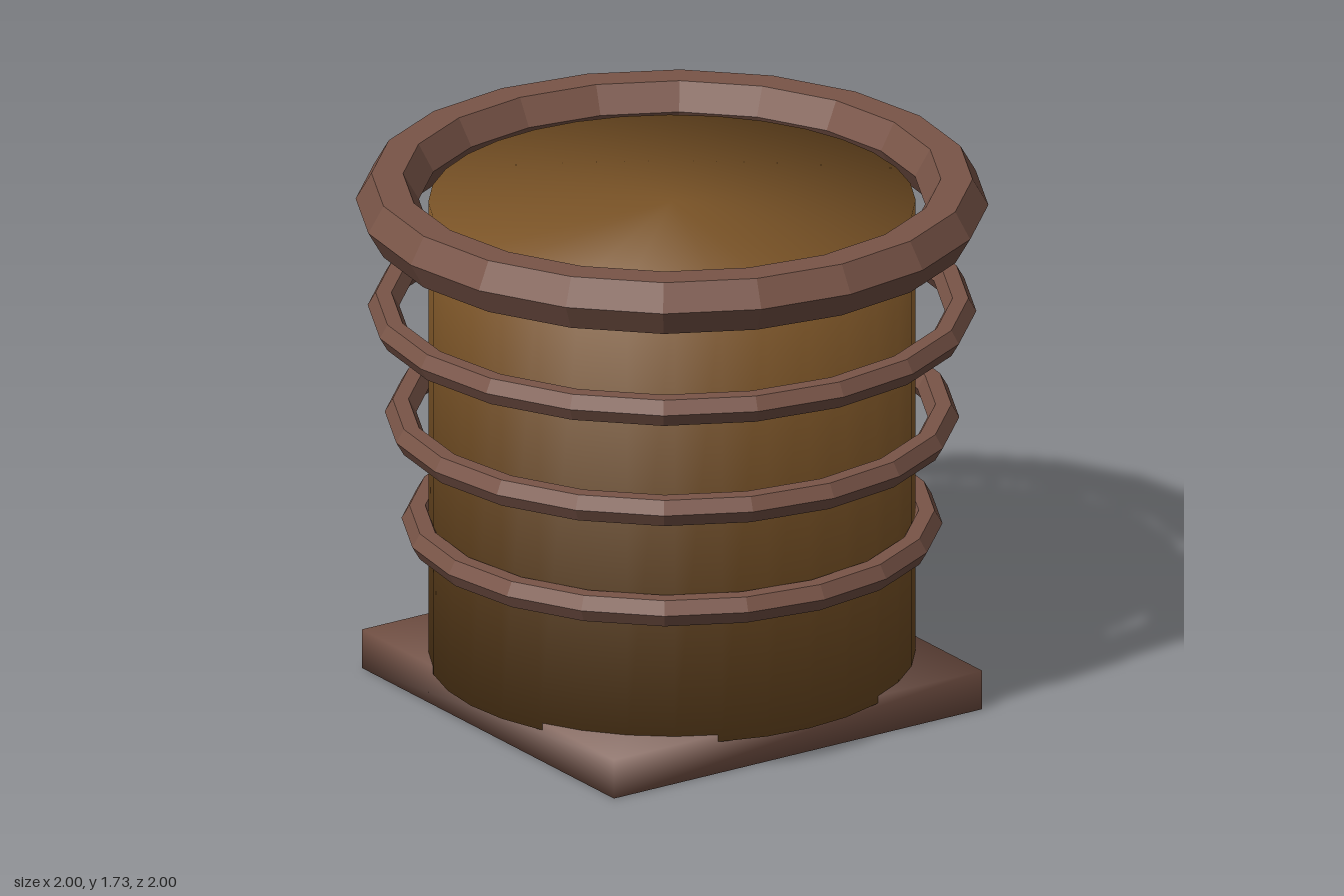
import * as THREE from 'three';

// Soft shading: normals fan out from the centre, shared across sides and caps
function softenNormals(geometry, rx, ry, rz) {
  const p = geometry.attributes.position, n = geometry.attributes.normal;
  const v = new THREE.Vector3();
  for (let i = 0; i < p.count; i++) {
    v.set(p.getX(i) / rx, p.getY(i) / ry, p.getZ(i) / rz).normalize();
    n.setXYZ(i, v.x, v.y, v.z);
  }
  return geometry;
}

export function createModel() {
  const model = new THREE.Group();
  model.name = 'barrel';

  const wood = new THREE.MeshStandardMaterial({ color: 0x7b5427 });
  wood.name = 'ochre wood';
  const brown = new THREE.MeshStandardMaterial({ color: 0x795548 });
  brown.name = 'brown';
  // Same brown, faceted for the hoops
  const hoopBrown = brown.clone();
  hoopBrown.name = 'faceted brown';
  hoopBrown.flatShading = true;

  const add = (name, geometry, material, y) => {
    const mesh = new THREE.Mesh(geometry, material);
    mesh.name = name;
    mesh.position.y = y;
    model.add(mesh);
    return mesh;
  };

  // Square foot plate
  add('base', softenNormals(new THREE.BoxGeometry(1.41, 0.13, 1.41), 0.705, 0.065, 0.705), brown, 0.065);

  // Closed drum
  const r = 0.77;
  add('drum', softenNormals(new THREE.CylinderGeometry(r, r, 2 * r, 32), r, r, r), wood, 0.107 + r);

  // Hoops, widening upwards, with a thick rim at the top: [name, radius, tube, height]
  const hoops = [
    ['lowerHoop', 0.805, 0.05, 0.568],
    ['middleHoop', 0.858, 0.05, 0.927],
    ['upperHoop', 0.912, 0.05, 1.286],
    ['rim', 0.9, 0.1, 1.645],
  ];
  for (const [name, radius, tube, y] of hoops) {
    const ring = new THREE.TorusGeometry(radius, tube, 6, 20).rotateX(Math.PI / 2);
    add(name, ring, hoopBrown, y);
  }

  return model;
}
